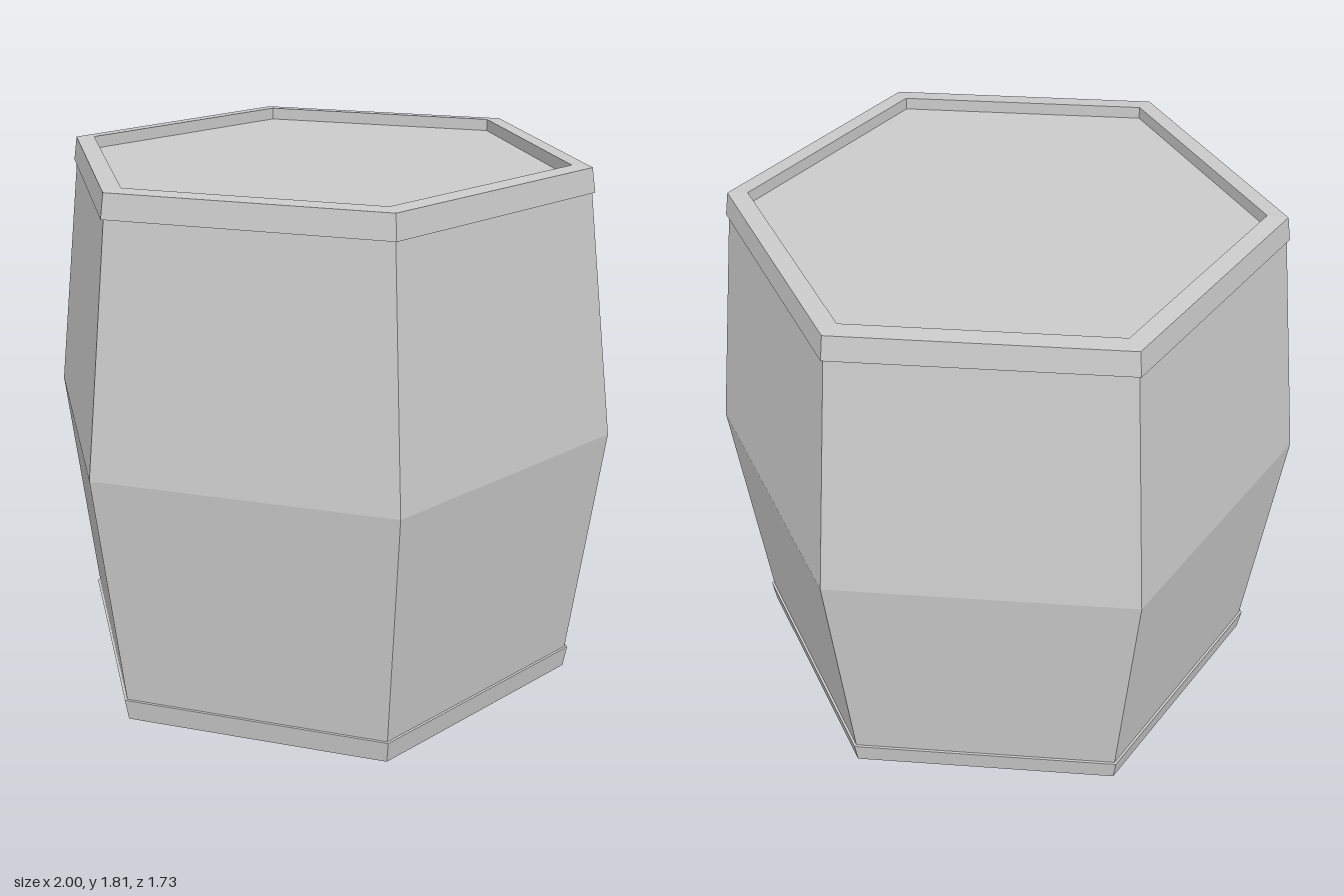
import * as THREE from 'three';

const material = new THREE.MeshStandardMaterial({ color: 0xcccccc, flatShading: true });

// Six-sided revolved part with corners on the x axis; profile runs [radius, y]
function hexPart(name, profile) {
  const points = profile.map(([r, y]) => new THREE.Vector2(r, y));
  const geometry = new THREE.LatheGeometry(points, 6, Math.PI / 2).toNonIndexed();
  geometry.computeVertexNormals();
  const mesh = new THREE.Mesh(geometry, material);
  mesh.name = name;
  return mesh;
}

export function createModel() {
  const group = new THREE.Group();
  group.name = 'barrel';

  // Bulging staves
  group.add(hexPart('staves', [[0.898, 0.08], [1, 0.903], [0.898, 1.722]]));

  // Bottom hoop: recess wall, rim, outer face, ledge
  group.add(hexPart('bottomHoop', [
    [0.785, 0.08], [0.785, 0], [0.895, 0.004], [0.908, 0.08], [0.898, 0.08],
  ]));

  // Top hoop: ledge, outer face, rim, recess wall
  group.add(hexPart('topHoop', [
    [0.898, 1.722], [0.908, 1.722], [0.895, 1.802], [0.828, 1.806], [0.828, 1.765],
  ]));

  // Sunken end panels
  group.add(hexPart('bottomPanel', [[0, 0.08], [0.785, 0.08]]));
  group.add(hexPart('lid', [[0.828, 1.765], [0, 1.765]]));

  return group;
}
